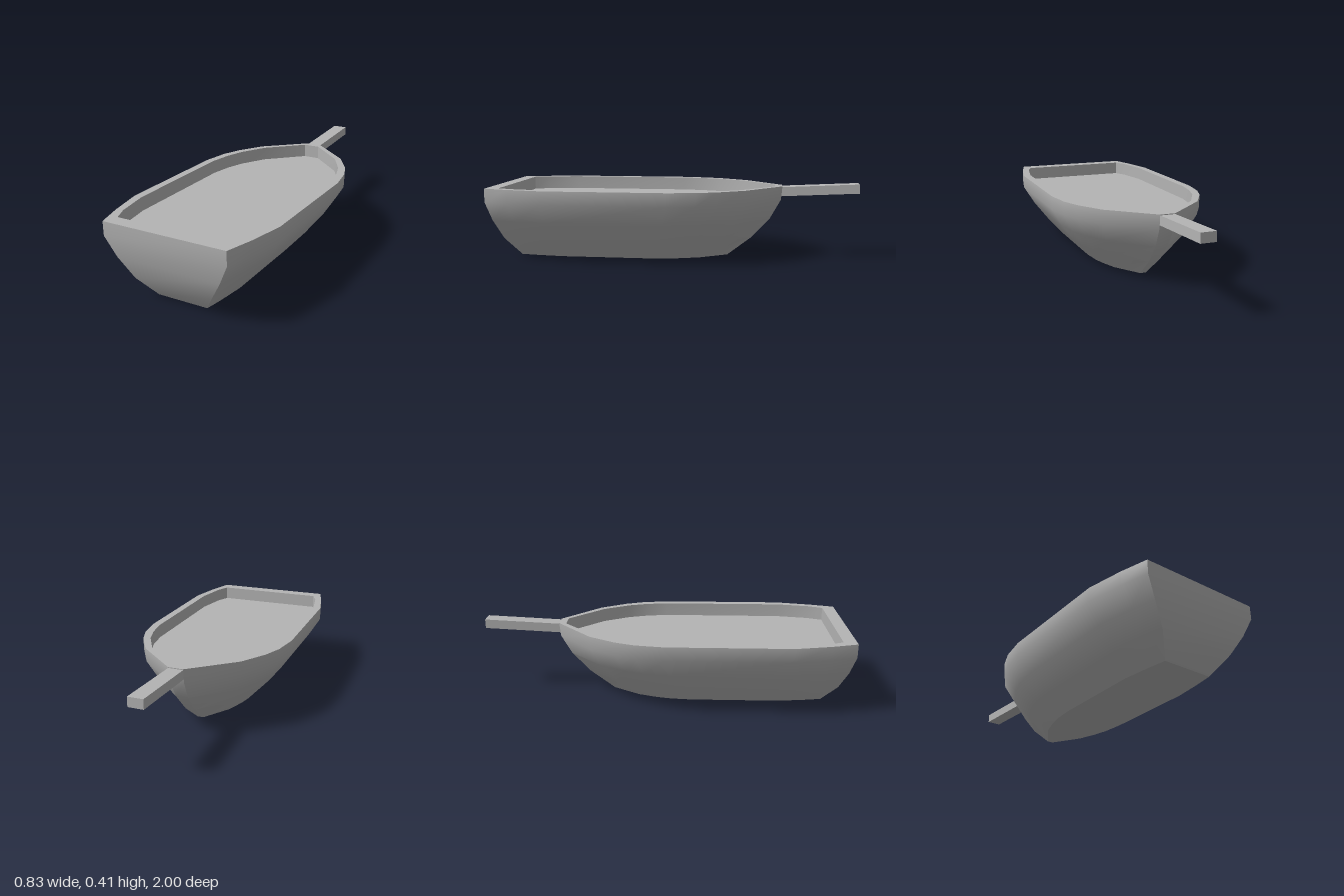
import * as THREE from 'three';
import { toCreasedNormals } from 'three/addons/utils/BufferGeometryUtils.js';

const TOP = 0.394, FLOOR = 0.32;

// Half outlines [x, z] from the flat transom to the narrow bow
const OUTER = [[0.335, 1], [0.375, 0.86], [0.414, 0.67], [0.414, 0.01], [0.39, -0.14], [0.35, -0.245], [0.265, -0.385], [0.04, -0.585]];
const INNER = [[0.305, 0.93], [0.338, 0.85], [0.37, 0.67], [0.37, 0], [0.35, -0.12], [0.316, -0.225], [0.236, -0.365], [0.045, -0.545]];

// Hull sections: height, width scale, stern z, bow z
const LEVELS = [
  [0, 0.415, 0.87, -0.285],
  [0.105, 0.64, 0.945, -0.42],
  [0.215, 0.845, 0.98, -0.52],
  [FLOOR, 1, 1, -0.578],
  [TOP, 1, 1, -0.585],
];

// Mirrored closed loop at height y
function ring(half, y, fit = (x, z) => [x, z]) {
  const all = [...half, ...half.map(([x, z]) => [-x, z]).reverse()];
  return all.map(([x, z]) => {
    const [fx, fz] = fit(x, z);
    return new THREE.Vector3(fx, y, fz);
  });
}

function hullRing([y, width, stern, bow]) {
  return ring(OUTER, y, (x, z) => [x * width, bow + (stern - bow) * (z + 0.585) / 1.585]);
}

// Skin between successive rings, skipping collapsed triangles
function loft(rings) {
  const points = [];
  const tri = (a, b, c) => {
    if (a.distanceTo(b) > 1e-6 && b.distanceTo(c) > 1e-6 && c.distanceTo(a) > 1e-6) points.push(a, b, c);
  };
  for (let r = 0; r < rings.length - 1; r++) {
    const low = rings[r], high = rings[r + 1], n = low.length;
    for (let i = 0; i < n; i++) {
      const j = (i + 1) % n;
      tri(low[i], low[j], high[j]);
      tri(low[i], high[j], high[i]);
    }
  }
  return toCreasedNormals(new THREE.BufferGeometry().setFromPoints(points), 0.62);
}

export function createModel() {
  const model = new THREE.Group();
  model.name = 'boat';
  const grey = new THREE.MeshStandardMaterial({ color: 0xb4b4b4 });
  grey.name = 'plain grey';
  const add = (name, geometry) => {
    const mesh = new THREE.Mesh(geometry, grey);
    mesh.name = name;
    model.add(mesh);
  };

  const hull = LEVELS.map(hullRing);
  const innerTop = ring(INNER, TOP), innerFloor = ring(INNER, FLOOR);
  const centre = (y) => ring(OUTER, y, () => [0, 0.25]);

  add('hull', loft(hull));
  add('keelPlate', loft([centre(0), hull[0]]));
  add('rim', loft([hull[hull.length - 1], innerTop]));
  add('innerWall', loft([innerTop, innerFloor]));
  add('deck', loft([innerFloor, centre(FLOOR)]));

  // Bowsprit, rising slightly towards its tip
  const sprit = new THREE.BoxGeometry(0.08, 0.05, 0.43);
  sprit.translate(0, 0.364, -0.785);
  const p = sprit.attributes.position;
  for (let i = 0; i < p.count; i++) p.setY(i, p.getY(i) + (-0.57 - p.getZ(i)) * 0.048);
  sprit.computeVertexNormals();
  add('bowsprit', sprit);

  return model;
}
